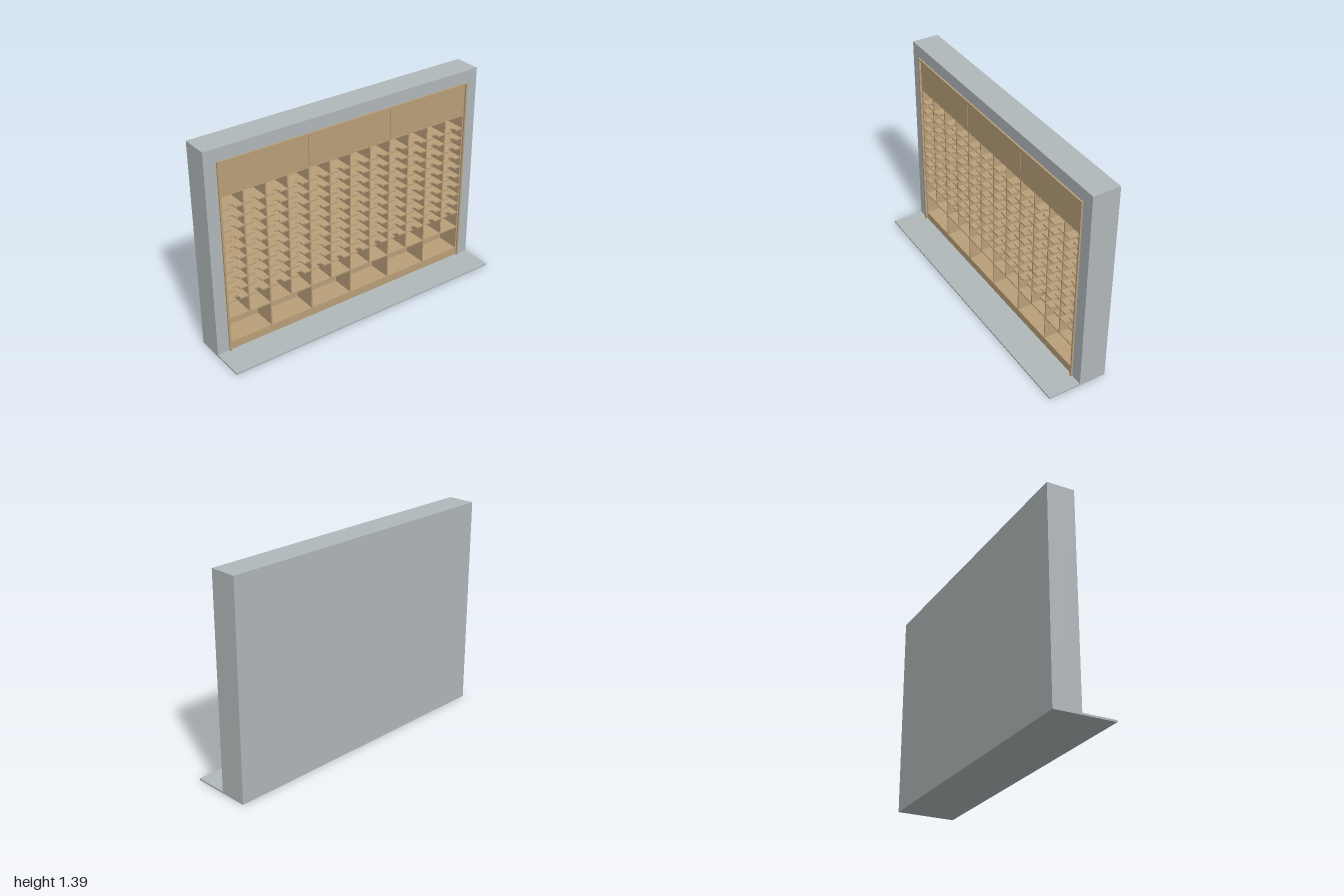
import * as THREE from 'three';

const HALF = 0.91;                 // half width of the niche
const FRONT = -0.018, BACK = -0.198; // wall faces
const CAB_FRONT = -0.02, CAB_BACK = -0.186;
const FLOOR = 0.012, T = 0.009;    // slab height, board thickness
const PITCH = 2 * HALF / 12;

export function createModel() {
  const model = new THREE.Group();
  const stone = new THREE.MeshStandardMaterial({ color: 0xb1b8ba });
  stone.name = 'wallGrey';
  const wood = new THREE.MeshStandardMaterial({ color: 0xb99f79 });
  wood.name = 'woodTan';

  const add = (name, geometry, material, parent = model) => {
    const mesh = new THREE.Mesh(geometry, material);
    mesh.name = name;
    parent.add(mesh);
    return mesh;
  };
  // box given by its extents
  const box = (name, x0, x1, y0, y1, z0, z1, material, parent) => {
    const g = new THREE.BoxGeometry(x1 - x0, y1 - y0, z1 - z0);
    g.translate((x0 + x1) / 2, (y0 + y1) / 2, (z0 + z1) / 2);
    return add(name, g, material, parent);
  };
  const group = (name) => {
    const g = new THREE.Group();
    g.name = name;
    model.add(g);
    return g;
  };

  // wall with a niche, closed behind
  const wall = new THREE.Shape([[-1, 0], [1, 0], [1, 1.388], [-1, 1.388]].map(p => new THREE.Vector2(...p)));
  wall.holes.push(new THREE.Path([[-HALF, FLOOR], [-HALF, 1.298], [HALF, 1.298], [HALF, FLOOR]].map(p => new THREE.Vector2(...p))));
  const wallGeo = new THREE.ExtrudeGeometry(wall, { depth: FRONT - (BACK + 0.01), bevelEnabled: false });
  wallGeo.translate(0, 0, BACK + 0.01);
  add('wall', wallGeo, stone);
  box('wallBack', -1, 1, 0, 1.388, BACK, BACK + 0.01, stone);
  box('floorSlab', -1, 1, 0, FLOOR, FRONT, 0.198, stone);

  // trim around the niche
  const trim = group('trim');
  for (const s of [-1, 1]) {
    const x = s * (HALF + 0.004);
    box('sideTrim', x - 0.006, x + 0.006, FLOOR, 1.305, FRONT, -0.007, wood, trim);
  }
  box('topTrim', -HALF + 0.002, HALF - 0.002, 1.296, 1.305, FRONT, -0.007, wood, trim);

  // cabinet shell
  const cabinet = group('cabinet');
  box('backPanel', -HALF, HALF, FLOOR, 1.08, CAB_BACK, CAB_BACK + 0.006, wood, cabinet);
  for (const s of [-1, 1]) {
    const x = s * (HALF - 0.004);
    box('sidePanel', x - 0.004, x + 0.004, FLOOR, 1.08, CAB_BACK, CAB_FRONT - 0.001, wood, cabinet);
  }
  box('plinth', -HALF, HALF, FLOOR, 0.058, CAB_FRONT - 0.01, CAB_FRONT - 0.001, wood, cabinet);
  for (const y of [0.064, 0.235, 1.079]) {
    box('plainShelf', -HALF, HALF, y - T / 2, y + T / 2, CAB_BACK, CAB_FRONT, wood, cabinet);
  }

  // shelves with a rounded finger notch in every compartment
  const r = 0.017, front = -CAB_FRONT, deep = front + 0.022;
  const outline = new THREE.Shape();
  outline.moveTo(-HALF, front);
  for (let i = 0; i < 12; i++) {
    const cx = -HALF + (i + 0.5) * PITCH;
    outline.lineTo(cx - r, front);
    outline.lineTo(cx - r, deep);
    outline.absarc(cx, deep, r, Math.PI, 0, true);
    outline.lineTo(cx + r, front);
  }
  outline.lineTo(HALF, front);
  outline.lineTo(HALF, -CAB_BACK);
  outline.lineTo(-HALF, -CAB_BACK);
  const shelfGeo = new THREE.ExtrudeGeometry(outline, { depth: T, bevelEnabled: false, curveSegments: 8 });
  shelfGeo.rotateX(-Math.PI / 2);
  for (let i = 0; i < 10; i++) {
    add('notchedShelf', shelfGeo, wood, cabinet).position.y = 0.353 + i * 0.0701 - T / 2;
  }

  // upright dividers: twelve columns above, six bins below
  for (let i = 1; i < 12; i++) {
    const x = -HALF + i * PITCH;
    const bottom = i % 2 ? 0.235 : 0.064;
    box('divider', x - T / 2, x + T / 2, bottom, 1.079, CAB_BACK, CAB_FRONT - 0.001, wood, cabinet);
  }

  // three upper doors with narrow gaps
  const doors = group('upperDoors');
  const edges = [-HALF, -0.303, 0.303, HALF];
  for (let i = 0; i < 3; i++) {
    box('door', edges[i] + 0.002, edges[i + 1] - 0.002, 1.084, 1.289, CAB_FRONT - 0.01, CAB_FRONT, wood, doors);
  }
  return model;
}
